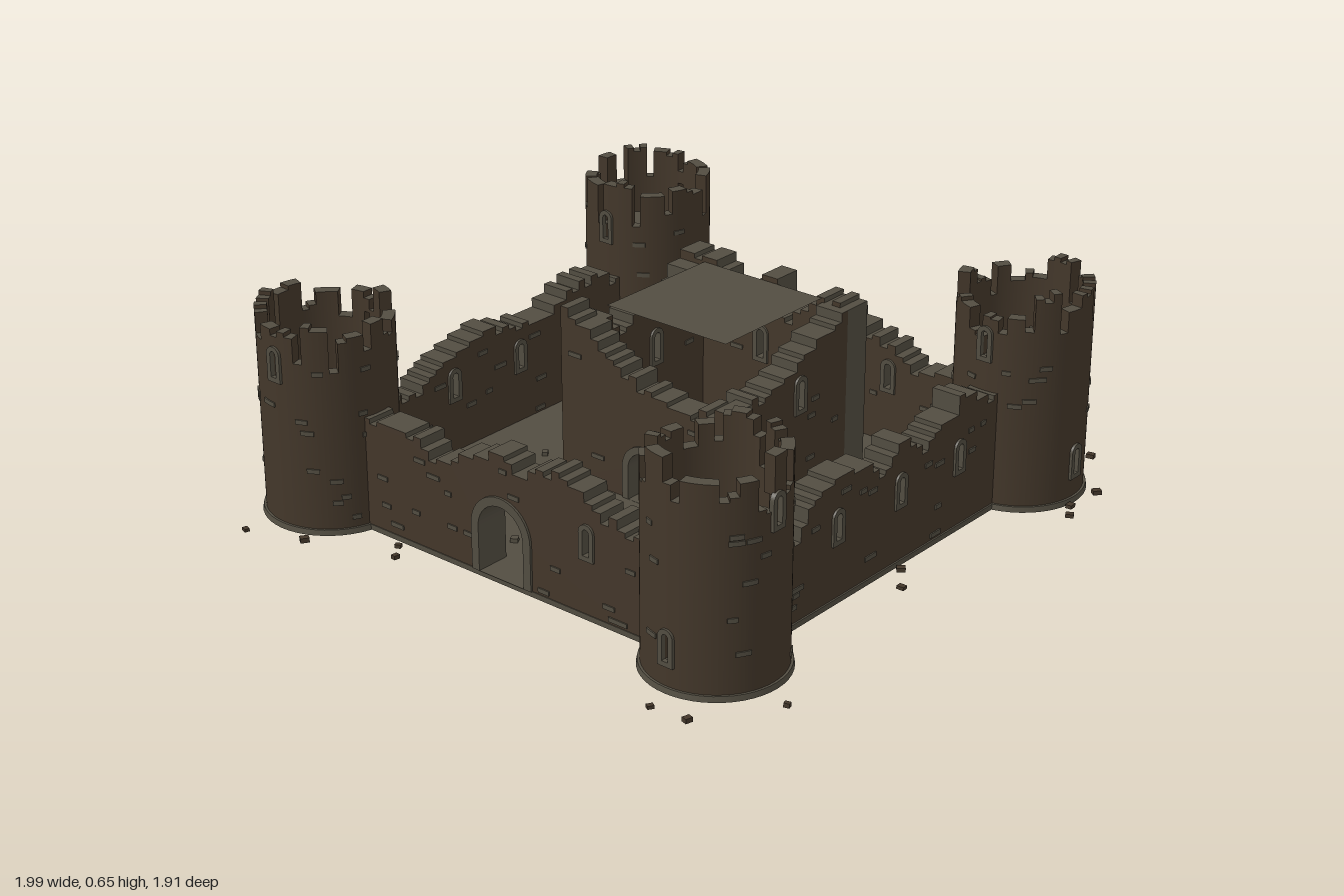
import * as THREE from 'three';

const brown = new THREE.MeshStandardMaterial({ color: 0x43372a });
brown.name = 'brown wall stone';
const grey = new THREE.MeshStandardMaterial({ color: 0x524d41 });
grey.name = 'grey weathered stone';

let seed = 7;
const rnd = () => (seed = (seed * 16807) % 2147483647) / 2147483647;
const range = (a, b) => a + rnd() * (b - a);

function add(parent, name, geo, mat, x = 0, y = 0, z = 0, ry = 0) {
  const m = new THREE.Mesh(geo, mat);
  m.name = name;
  m.position.set(x, y, z);
  m.rotation.y = ry;
  parent.add(m);
  return m;
}
function group(parent, name, x = 0, y = 0, z = 0, ry = 0) {
  const g = new THREE.Group();
  g.name = name;
  g.position.set(x, y, z);
  g.rotation.y = ry;
  parent.add(g);
  return g;
}
const box = (w, h, d) => new THREE.BoxGeometry(w, h, d);

// Round-headed outline of half width w between y0 and y1
function arch(x, y0, y1, w, Type = THREE.Shape) {
  const s = new Type();
  s.moveTo(x - w, y0);
  s.lineTo(x + w, y0);
  s.lineTo(x + w, y1 - w);
  s.absarc(x, y1 - w, w, 0, Math.PI, false);
  s.lineTo(x - w, y0);
  return s;
}
// Stone surround standing slightly proud of both wall faces
function archTrim(parent, name, o, depth, z = 0) {
  const s = arch(o.x, o.y0 - (o.sill || 0), o.y1 + o.t, o.w + o.t);
  s.holes.push(arch(o.x, o.y0 + (o.sill ? 0.002 : 0.0005), o.y1 - 0.002, o.w - 0.002, THREE.Path));
  const g = new THREE.ExtrudeGeometry(s, { depth, bevelEnabled: false, curveSegments: 10 });
  g.translate(0, 0, z - depth / 2);
  add(parent, name, g, grey);
}
const slit = x => ({ x, y0: 0.185, y1: 0.265, w: 0.013, t: 0.012, sill: 0.012 });

// Height of a broken wall top, from [position, height] points
function heightAt(profile, u) {
  for (let i = 1; i < profile.length; i++) {
    const [a, ha] = profile[i - 1], [b, hb] = profile[i];
    if (u <= b) return ha + (hb - ha) * (u - a) / (b - a);
  }
  return profile[profile.length - 1][1];
}

// Straight wall with a stepped top, openings, surrounds and odd stones
function wall(parent, name, len, profile, openings, x, z, ry, bricks) {
  const T = 0.09, g = group(parent, name, x, 0, z, ry);
  const n = Math.round(len / 0.028), dx = len / n, tops = [];
  const s = new THREE.Shape();
  s.moveTo(-len / 2, 0);
  s.lineTo(len / 2, 0);
  for (let i = n - 1; i >= 0; i--) {
    const u = -len / 2 + (i + 0.5) * dx;
    const h = Math.round((heightAt(profile, u) + range(-0.017, 0.017)) / 0.014) * 0.014;
    tops[i] = h;
    s.lineTo(u + dx / 2, h);
    s.lineTo(u - dx / 2, h);
  }
  for (const o of openings) s.holes.push(arch(o.x, o.y0, o.y1, o.w, THREE.Path));
  const geo = new THREE.ExtrudeGeometry(s, { depth: T, bevelEnabled: false, curveSegments: 10 });
  geo.translate(0, 0, -T / 2);
  add(g, 'wallBody', geo, [brown, grey]);
  for (const o of openings) archTrim(g, 'openingSurround', o, T + 0.014);
  for (let k = 0; k < bricks; k++) {
    const w = range(0.022, 0.048), u = range(-len / 2 + 0.04, len / 2 - 0.04);
    const i = Math.floor((u + len / 2) / dx);
    const top = Math.min(tops[i], tops[Math.max(0, i - 1)], tops[Math.min(n - 1, i + 1)]);
    const y = 0.03 + Math.floor(rnd() * (top - 0.05) / 0.016) * 0.016;
    if (openings.some(o => Math.abs(o.x - u) < o.w + o.t + w / 2 && y < o.y1 + 0.03)) continue;
    add(g, 'facingStone', box(w, 0.013, 0.008), grey, u, y, (k % 3 ? 1 : -1) * T / 2);
  }
}

// Curved block between two radii and two angles
function sector(r0, r1, a0, a1, y0, y1) {
  const s = new THREE.Shape();
  s.absarc(0, 0, r1, a0, a1, false);
  s.absarc(0, 0, r0, a1, a0, true);
  const g = new THREE.ExtrudeGeometry(s, { depth: y1 - y0, bevelEnabled: false, curveSegments: 2 });
  g.rotateX(-Math.PI / 2);
  g.translate(0, y0, 0);
  return g;
}

// Round tower; angles run from +x towards -z. highX: the slits facing +-x are the high ones
function tower(parent, name, x, z, highX, stairStart) {
  const g = group(parent, name, x, 0, z), N = 48, da = Math.PI * 2 / N, R = 0.19, r = 0.155;
  add(g, 'plinth', new THREE.CylinderGeometry(0.197, 0.2, 0.016, 48), grey, 0, 0.008, 0);
  let run = 0, merlon = false, h = 0.6;
  for (let i = 0; i < N; i++) {
    if (run-- <= 0) {
      merlon = !merlon;
      run = merlon ? 1 + Math.floor(rnd() * 3) : Math.floor(rnd() * 2);
      h = merlon ? range(0.57, 0.645) : range(0.49, 0.56);
    }
    const c = i * da, a0 = c - da / 2, a1 = c + da / 2;
    const top = Math.round((h + range(-0.012, 0.004)) / 0.012) * 0.012;
    if (i % 12 === 0) {
      const high = (i % 24 === 0) === highX, y0 = high ? 0.45 : 0.085;
      add(g, 'towerWall', sector(r, R, a0, a1, 0.01, y0), [grey, brown]);
      add(g, 'towerWall', sector(r, R, a0, a1, y0 + 0.08, Math.max(top, 0.57)), [grey, brown]);
      const f = group(g, 'slitWindow', 0, 0, 0, c + Math.PI / 2);
      archTrim(f, 'slitSurround', { x: 0, y0, y1: y0 + 0.08, w: 0.012, t: 0.012, sill: 0.012 }, 0.014, R);
    } else add(g, 'towerWall', sector(r, R, a0, a1, 0.01, top), [grey, brown]);
  }
  // Odd stones set in the curved face
  for (let k = 0; k < 34; k++) {
    const a = range(0, Math.PI * 2), q = a % (Math.PI / 2);
    if (q < 0.25 || q > Math.PI / 2 - 0.25) continue;
    const y = 0.04 + Math.floor(rnd() * 28) * 0.016, w = range(0.06, 0.11);
    add(g, 'facingStone', sector(R - 0.004, R + 0.004, a, a + w * 2, y, y + 0.013), grey);
  }
  // Winding stair, or an upper floor where the stair is hidden
  if (stairStart === null) {
    add(g, 'upperFloor', new THREE.CylinderGeometry(r, r, 0.012, 40), grey, 0, 0.42, 0);
  } else {
    for (let i = 0; i < 20; i++) {
      const a = stairStart + i * 0.18, y = 0.035 + i * 0.02;
      add(g, 'stairStep', sector(0.1, r, a, a + 0.18, Math.max(0.016, y - 0.04), y), grey);
    }
  }
}

export function createModel() {
  const root = new THREE.Group();
  root.name = 'ruinedCastle';
  const cx = 0.0225, cz = -0.0075, H = Math.PI / 2;

  add(root, 'courtyard', box(1.475, 0.016, 1.44), grey, cx, 0.008, cz);

  // Corner towers
  tower(root, 'frontLeftTower', 0.71, 0.665, true, Math.PI);
  tower(root, 'frontRightTower', -0.665, 0.665, false, H);
  tower(root, 'backLeftTower', 0.71, -0.68, false, -H);
  tower(root, 'backRightTower', -0.665, -0.68, false, null);

  // Outer walls
  const gate = { x: 0, y0: 0.016, y1: 0.232, w: 0.082, t: 0.024 };
  wall(root, 'frontWall', 1.025,
    [[-0.51, 0.33], [-0.32, 0.34], [-0.25, 0.27], [-0.17, 0.31], [-0.08, 0.36], [0, 0.39], [0.06, 0.35],
      [0.18, 0.38], [0.28, 0.35], [0.34, 0.3], [0.4, 0.32], [0.45, 0.28], [0.51, 0.29]],
    [gate, slit(0.3)], cx, 0.665, 0, 34);
  wall(root, 'backWall', 1.025,
    [[-0.51, 0.3], [-0.38, 0.26], [-0.25, 0.33], [-0.1, 0.37], [0.05, 0.31], [0.2, 0.36], [0.35, 0.29], [0.51, 0.33]],
    [slit(-0.27), slit(0), slit(0.27)], cx, -0.675, Math.PI, 34);
  const sideSlits = [slit(-0.2325), slit(0.0425), slit(0.3125)];
  wall(root, 'leftWall', 0.995,
    [[-0.5, 0.27], [-0.4, 0.24], [-0.34, 0.32], [-0.25, 0.36], [-0.12, 0.34], [-0.03, 0.31], [0.05, 0.37],
      [0.14, 0.31], [0.22, 0.33], [0.32, 0.39], [0.42, 0.37], [0.5, 0.33]],
    sideSlits, 0.71, cz, H, 34);
  wall(root, 'rightWall', 0.995,
    [[-0.5, 0.29], [-0.38, 0.23], [-0.28, 0.31], [-0.1, 0.34], [0.1, 0.3], [0.25, 0.35], [0.4, 0.37], [0.5, 0.31]],
    sideSlits, -0.665, cz, H, 34);

  // Inner keep
  const keep = group(root, 'keep', 0.02, 0, -0.1675);
  const door = { x: 0, y0: 0.016, y1: 0.17, w: 0.056, t: 0.02 };
  const light = { x: 0, y0: 0.29, y1: 0.38, w: 0.014, t: 0.012, sill: 0.012 };
  wall(keep, 'keepFront', 0.61,
    [[-0.305, 0.52], [-0.22, 0.49], [-0.13, 0.41], [-0.05, 0.38], [0.05, 0.35], [0.15, 0.33], [0.305, 0.38]],
    [door], 0, 0.2575, 0, 14);
  wall(keep, 'keepBack', 0.61,
    [[-0.305, 0.53], [-0.18, 0.51], [-0.12, 0.45], [-0.06, 0.43], [-0.04, 0.54], [0.03, 0.53], [0.06, 0.43],
      [0.12, 0.46], [0.17, 0.53], [0.305, 0.555]],
    [light], 0, -0.2575, Math.PI, 14);
  wall(keep, 'keepLeft', 0.425, [[-0.213, 0.37], [-0.1, 0.4], [0, 0.42], [0.1, 0.46], [0.213, 0.52]],
    [light], 0.26, 0, H, 10);
  wall(keep, 'keepRight', 0.425,
    [[-0.213, 0.5], [-0.15, 0.43], [-0.08, 0.46], [0, 0.43], [0.1, 0.44], [0.15, 0.48], [0.213, 0.55]],
    [light], -0.26, 0, H, 10);
  const roof = new THREE.PlaneGeometry(0.425, 0.425);
  roof.rotateX(-H);
  add(keep, 'keepRoof', roof, grey, 0, 0.53, 0);

  // Fallen stones outside the walls, as [x, z]
  const outside = [[-0.985, -0.71], [-0.88, -0.86], [-0.83, -0.89], [-0.92, -0.55], [-0.9, -0.57], [-0.82, -0.46],
    [-0.75, -0.32], [-0.81, 0.15], [-0.73, 0.39], [-0.73, 0.44], [-0.77, 0.47], [-0.85, 0.51], [-0.73, 0.94],
    [-0.56, 0.88], [-0.34, 0.74], [-0.3, 0.79], [0.73, 0.94], [0.84, 0.93], [0.982, 0.72], [0.84, 0.05],
    [0.78, -0.03], [0.95, -0.59], [0.93, -0.76], [0.92, -0.64], [0.79, -0.95], [0.67, -0.9], [0.49, -0.75], [0.24, -0.74]];
  for (const [x, z] of outside) {
    const s = range(0.016, 0.026), h = range(0.008, 0.014);
    add(root, 'rubble', box(s, h, s * 0.8), brown, x, h / 2, z, range(0, 3));
  }
  // Loose stones in the courtyard
  for (let i = 0; i < 30; i++) {
    const x = range(-0.58, 0.62), z = range(-0.59, 0.58);
    if (Math.abs(x - 0.02) < 0.34 && Math.abs(z + 0.17) < 0.34) continue;
    add(root, 'courtyardStone', box(range(0.016, 0.03), 0.014, 0.02), grey, x, 0.021, z, range(0, 3));
  }
  return root;
}
